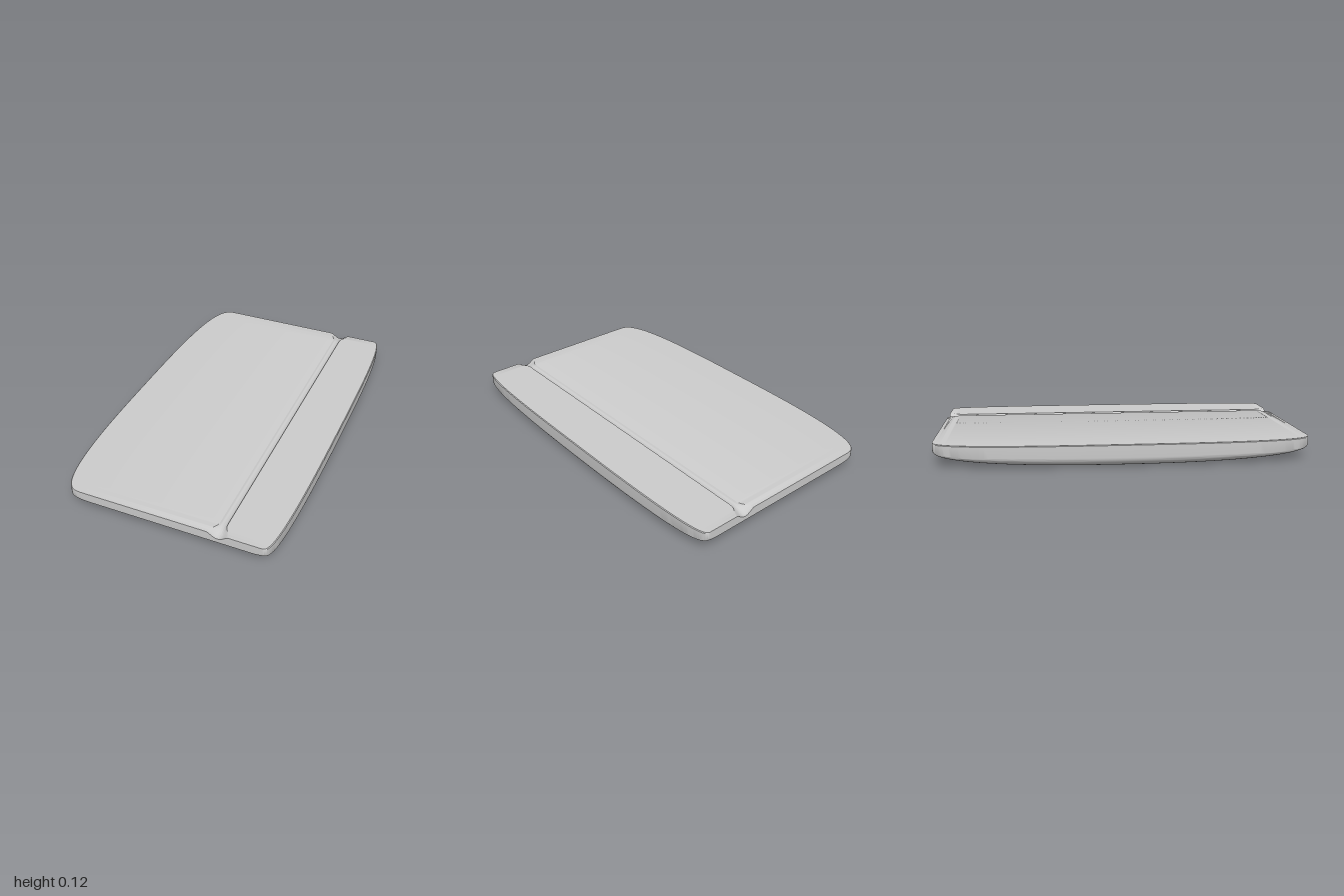
import * as THREE from 'three';
import { toCreasedNormals } from 'three/addons/utils/BufferGeometryUtils.js';

const TOP = 0.118, GROOVE_X = 0.313, BEVEL = 0.004;
const CORNER = 12, GROOVE = 21, STEPS = 48;

// One closed cross-section of the slab at depth z, counterclockwise seen from +z
function crossSection(z) {
  const a = Math.min(1, Math.abs(z));
  const bow = Math.pow(1 - Math.pow(a, 3), 0.3);
  const left = -0.44 - 0.173 * bow, right = 0.54 + 0.073 * bow;
  const low = 0.07 * (1 - Math.pow(1 - Math.pow(a, 2.2), 0.45));
  const cw = 0.07, ch = 0.015 + 0.035 * (1 - a * a * a);
  const bottom = [], top = [];

  // Underside with rounded long edges
  for (let i = 0; i <= CORNER; i++) {
    const t = (i / CORNER) * Math.PI / 2;
    bottom.push([left + cw * (1 - Math.cos(t)), low + ch * (1 - Math.sin(t))]);
  }
  for (let i = CORNER; i >= 0; i--) {
    const t = (i / CORNER) * Math.PI / 2;
    bottom.push([right - cw * (1 - Math.cos(t)), low + ch * (1 - Math.sin(t))]);
  }

  // Top face with a groove that flares out at both ends
  const flare = Math.pow(THREE.MathUtils.smoothstep(a, 0.91, 1), 1.5);
  const half = 0.02 + 0.04 * flare, depth = 0.012 + 0.016 * flare;
  top.push([left, TOP - BEVEL], [left + BEVEL, TOP]);
  for (let i = 0; i <= GROOVE; i++) {
    const u = (i / GROOVE) * 2 - 1;
    const dip = Math.pow(Math.max(0, 1 - u * u), 0.6 + 1.2 * flare);
    top.push([GROOVE_X + u * half, TOP - depth * dip]);
  }
  top.push([right - BEVEL, TOP], [right, TOP - BEVEL]);
  return [...bottom, ...top.reverse()];
}

function slabGeometry() {
  // Sections crowd together towards the two ends
  const zs = [];
  for (let k = -STEPS; k <= STEPS; k++) {
    zs.push(Math.sign(k) * (1 - Math.pow(1 - Math.abs(k) / STEPS, 3)));
  }
  const positions = [], index = [];
  let n = 0;
  for (const z of zs) {
    const ring = crossSection(z);
    n = ring.length;
    for (const [x, y] of ring) positions.push(x, y, z);
  }

  // Skin between neighbouring sections
  for (let k = 0; k < zs.length - 1; k++) {
    for (let j = 0; j < n; j++) {
      const a = k * n + j, b = k * n + (j + 1) % n;
      index.push(a, b, b + n, a, b + n, a + n);
    }
  }

  // End faces, as strips between underside and top
  const last = (zs.length - 1) * n;
  for (let i = 0; i < n / 2 - 1; i++) {
    const b0 = i, b1 = i + 1, t0 = n - 1 - i, t1 = n - 2 - i;
    index.push(last + b0, last + b1, last + t1, last + b0, last + t1, last + t0);
    index.push(b0, t1, b1, b0, t0, t1);
  }

  const geometry = new THREE.BufferGeometry();
  geometry.setAttribute('position', new THREE.Float32BufferAttribute(positions, 3));
  geometry.setIndex(index);
  return toCreasedNormals(geometry, 0.6);
}

export function createModel() {
  const model = new THREE.Group();
  model.name = 'groovedSlab';
  const material = new THREE.MeshStandardMaterial({ color: 0xcccccc });
  const slab = new THREE.Mesh(slabGeometry(), material);
  slab.name = 'slab';
  model.add(slab);
  return model;
}
